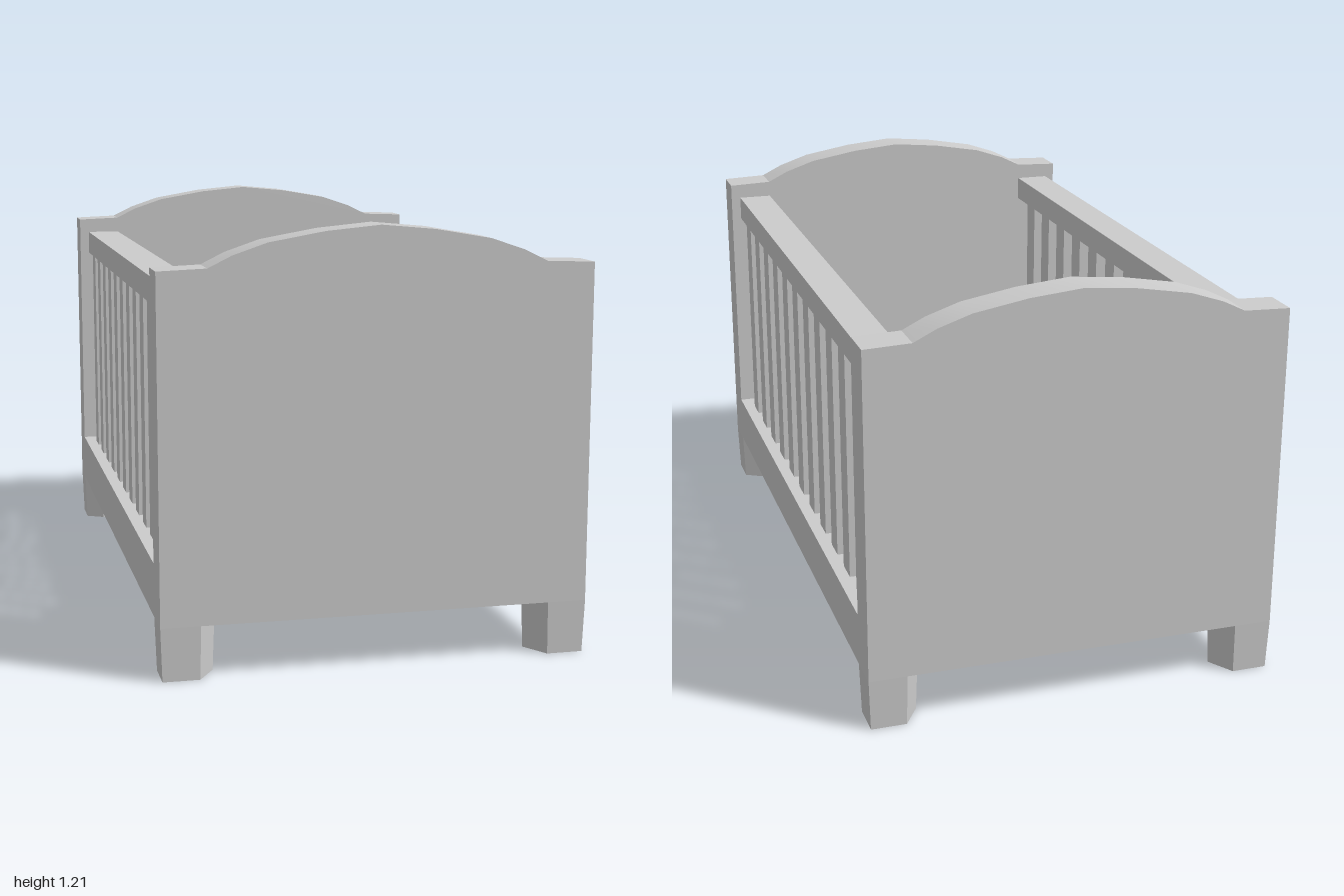
import * as THREE from 'three';
import { toCreasedNormals } from 'three/addons/utils/BufferGeometryUtils.js';

const material = new THREE.MeshStandardMaterial({ color: 0xcccccc });

const HALF_W = 0.6, HALF_L = 1, PANEL = 0.11;
const BASE_Y = 0.15, DECK_Y = 0.3, RAIL_Y = 0.98, RAIL_TOP = 1.055;

function addMesh(parent, name, geometry, x = 0, y = 0, z = 0) {
  const mesh = new THREE.Mesh(geometry, material);
  mesh.name = name;
  mesh.position.set(x, y, z);
  parent.add(mesh);
  return mesh;
}

// End board: straight shoulders with a shallow arch between them
function endBoardGeometry() {
  const half = [[0.6, 1.1], [0.465, 1.105], [0.4, 1.137], [0.305, 1.169], [0.15, 1.196]];
  const left = half.map(([x, y]) => [-x, y]).reverse();
  const outline = [[-HALF_W, BASE_Y], [HALF_W, BASE_Y], ...half, [0, 1.21], ...left];
  const shape = new THREE.Shape(outline.map(([x, y]) => new THREE.Vector2(x, y)));
  const geometry = new THREE.ExtrudeGeometry(shape, { depth: PANEL, bevelEnabled: false });
  return toCreasedNormals(geometry, 0.3);
}

// Foot: five-sided block in the corner, slightly narrower at the floor
function footGeometry() {
  const corner = [[0, 0], [0.11, 0], [0.16, 0.08], [0.06, 0.145], [0, 0.11]];
  const shape = new THREE.Shape(
    corner.map(([a, b]) => new THREE.Vector2(HALF_W - a, HALF_L - b)));
  const geometry = new THREE.ExtrudeGeometry(shape, { depth: BASE_Y, bevelEnabled: false });
  geometry.rotateX(Math.PI / 2).translate(0, BASE_Y, 0);
  const p = geometry.attributes.position;
  const cx = HALF_W - 0.07, cz = HALF_L - 0.06;
  for (let i = 0; i < p.count; i++) {
    const s = 0.93 + 0.07 * p.getY(i) / BASE_Y;
    p.setX(i, cx + (p.getX(i) - cx) * s);
    p.setZ(i, cz + (p.getZ(i) - cz) * s);
  }
  geometry.computeVertexNormals();
  return geometry;
}

export function createModel() {
  const crib = new THREE.Group();
  crib.name = 'crib';
  const innerLength = 2 * (HALF_L - PANEL);

  // Bed base between the end boards
  addMesh(crib, 'base', new THREE.BoxGeometry(2 * HALF_W, DECK_Y - BASE_Y, innerLength),
    0, (BASE_Y + DECK_Y) / 2, 0);

  // Arched end boards
  const board = endBoardGeometry();
  addMesh(crib, 'frontBoard', board, 0, 0, HALF_L - PANEL);
  addMesh(crib, 'backBoard', board, 0, 0, -HALF_L);

  // Barred sides: top rail and eleven slats each
  const rail = new THREE.BoxGeometry(0.105, RAIL_TOP - RAIL_Y, innerLength);
  const slat = new THREE.BoxGeometry(0.09, RAIL_Y - DECK_Y, 0.075);
  for (const side of [-1, 1]) {
    const group = new THREE.Group();
    group.name = side > 0 ? 'leftSide' : 'rightSide';
    crib.add(group);
    addMesh(group, 'topRail', rail, side * 0.517, (RAIL_Y + RAIL_TOP) / 2, 0);
    for (let i = -5; i <= 5; i++) {
      addMesh(group, 'slat', slat, side * 0.52, (DECK_Y + RAIL_Y) / 2, i * 0.1545);
    }
  }

  // Four feet, mirrored into the corners
  const foot = footGeometry();
  for (const sx of [-1, 1]) {
    for (const sz of [-1, 1]) {
      addMesh(crib, 'foot', foot).scale.set(sx, 1, sz);
    }
  }
  return crib;
}
